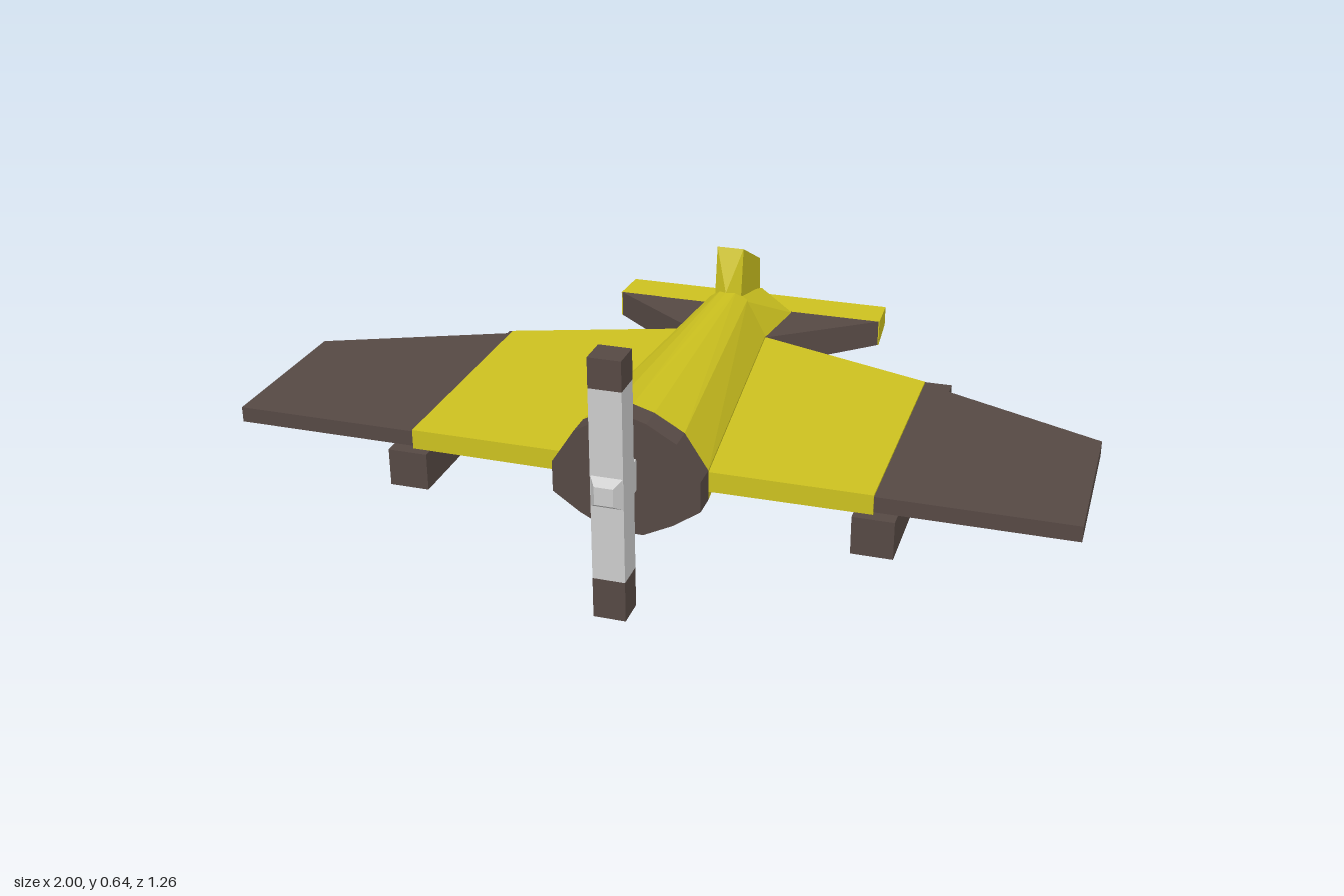
import * as THREE from 'three';
import { ConvexGeometry } from 'three/addons/geometries/ConvexGeometry.js';

function material(name, color) {
  const m = new THREE.MeshStandardMaterial({ color });
  m.name = name;
  return m;
}

export function createModel() {
  const yellow = material('yellow paint', 0xccc11f);
  const brown = material('dark brown', 0x564944);
  const grey = material('light grey', 0xcccccc);
  const model = new THREE.Group();
  model.name = 'propellerPlane';

  function add(name, mat, geometry) {
    const mesh = new THREE.Mesh(geometry, mat);
    mesh.name = name;
    model.add(mesh);
    return mesh;
  }
  // flat-faced solid around a set of corners
  const hull = (name, mat, pts) =>
    add(name, mat, new ConvexGeometry(pts.map((p) => new THREE.Vector3(...p))));
  const mirrored = (pts) => pts.flatMap(([x, y, z]) => (x ? [[x, y, z], [-x, y, z]] : [[x, y, z]]));
  const section = (half, z) => mirrored(half.map(([x, y]) => [x, y, z]));
  // box given by its limits
  const box = (name, mat, [x0, x1], [y0, y1], [z0, z1]) => {
    const g = new THREE.BoxGeometry(x1 - x0, y1 - y0, z1 - z0);
    g.translate((x0 + x1) / 2, (y0 + y1) / 2, (z0 + z1) / 2);
    return add(name, mat, g);
  };

  // body: half cross-sections from top to bottom
  const noseHalf = [[0, 0.465], [0.05, 0.45], [0.12, 0.41], [0.175, 0.325], [0.175, 0.25], [0.11, 0.205], [0.04, 0.17]];
  const rearHalf = [[0, 0.445], [0.02, 0.442], [0.05, 0.42], [0.1, 0.325], [0.1, 0.235], [0.07, 0.2], [0.03, 0.17]];
  hull('cowling', brown, [...section(noseHalf, 0.505), ...section(noseHalf, 0.445)]);
  hull('fuselage', yellow, [...section(noseHalf, 0.445), ...section(rearHalf, -0.33)]);
  hull('tailCone', yellow, [
    ...section([[0, 0.445], [0.02, 0.442], [0.05, 0.42], [0.1, 0.315]], -0.32),
    ...section([[0.04, 0.38], [0.125, 0.318]], -0.52),
  ]);

  // tail surfaces
  hull('tailplane', brown, mirrored([
    [0.1, 0.32, -0.33], [0.1, 0.236, -0.33],
    [0.365, 0.32, -0.525], [0.365, 0.252, -0.525],
  ]));
  hull('elevator', yellow, mirrored([
    [0.365, 0.32, -0.523], [0.365, 0.252, -0.523],
    [0.36, 0.32, -0.63], [0.36, 0.268, -0.63],
  ]));
  hull('fin', yellow, mirrored([
    [0, 0.445, -0.3], [0.035, 0.43, -0.322], [0.035, 0.555, -0.342],
    [0.035, 0.47, -0.51], [0.035, 0.37, -0.518], [0, 0.4, -0.31],
  ]));

  for (const s of [1, -1]) {
    const side = s > 0 ? 'left' : 'right';
    const flip = (pts) => pts.map(([x, y, z]) => [s * x, y, z]);
    // wing: thicker toward the rear of the root
    hull(side + 'InnerWing', yellow, flip([
      [0.08, 0.32, 0.443], [0.08, 0.27, 0.443], [0.55, 0.32, 0.443], [0.55, 0.272, 0.443],
      [0.08, 0.32, -0.34], [0.08, 0.235, -0.34], [0.55, 0.32, -0.178], [0.55, 0.272, -0.178],
    ]));
    hull(side + 'OuterWing', brown, flip([0.315, 0.277].flatMap((y) => [
      [0.55, y, 0.44], [1, y, 0.44], [1, y, 0.02], [0.55, y, -0.175],
    ])));
    // pod under the wing
    const span = (a, b) => (s > 0 ? [a, b] : [-b, -a]);
    box(side + 'Pod', brown, span(0.507, 0.603), [0.18, 0.272], [-0.28, 0.465]);
    box(side + 'PodTail', brown, span(0.52, 0.59), [0.187, 0.258], [-0.31, -0.28]);
  }

  // propeller and hub
  const px = [-0.047, 0.03];
  const pz = [0.533, 0.605];
  box('propellerBlades', grey, px, [0.1, 0.568], pz);
  box('lowerBladeTip', brown, px, [0, 0.1], pz);
  box('upperBladeTip', brown, px, [0.568, 0.64], pz);
  box('propellerShaft', grey, [-0.043, 0.026], [0.283, 0.36], [0.5, 0.534]);
  hull('spinner', grey, [[0.038, 0.604], [0.022, 0.627]].flatMap(([r, z]) =>
    [[1, 1], [1, -1], [-1, 1], [-1, -1]].map(([a, b]) => [-0.0085 + a * r, 0.322 + b * r, z])));

  return model;
}
